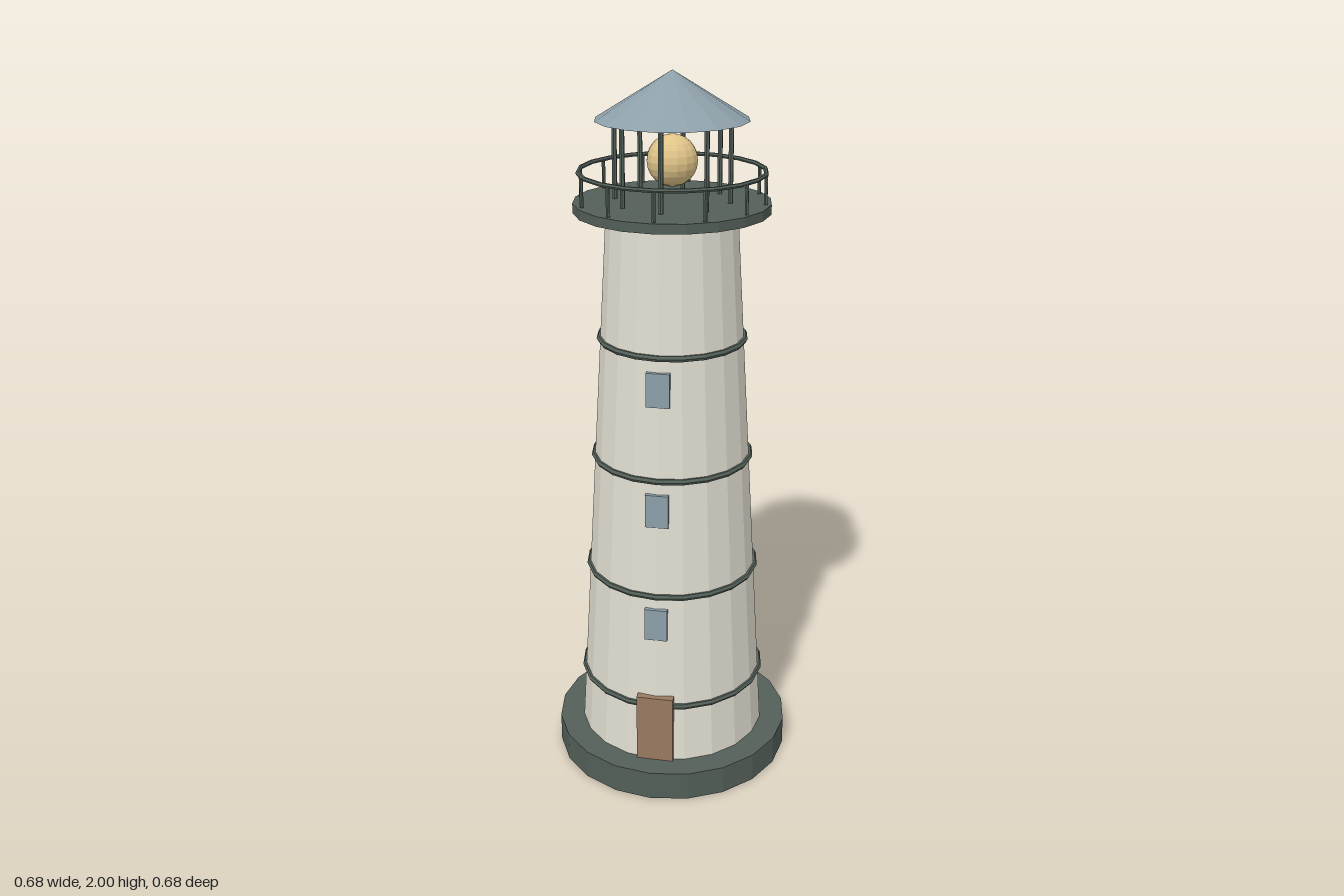
import * as THREE from 'three';

const material = (name, color) => {
  const m = new THREE.MeshStandardMaterial({ color });
  m.name = name;
  return m;
};

// Geometry with hard facets, one normal per face
const faceted = (geometry) => {
  const g = geometry.toNonIndexed();
  g.computeVertexNormals();
  return g;
};

export function createModel() {
  const model = new THREE.Group();
  model.name = 'lighthouse';

  const plaster = material('cream plaster', 0xe0ddd0);
  const iron = material('dark green iron', 0x535f58);
  const slate = material('blue grey', 0x8d9fa9);
  const wood = material('brown wood', 0x997a60);
  const glow = material('lamp gold', 0xe0c488);

  const add = (name, geometry, mat, x = 0, y = 0, z = 0, parent = model) => {
    const mesh = new THREE.Mesh(faceted(geometry), mat);
    mesh.name = name;
    mesh.position.set(x, y, z);
    parent.add(mesh);
    return mesh;
  };

  // Tapered tower on a round plinth
  const SIDES = 20;
  const baseTop = 0.085, towerTop = 1.64;
  const bottomRadius = 0.271, topRadius = 0.177;
  const radiusAt = (y) =>
    THREE.MathUtils.mapLinear(y, baseTop, towerTop, bottomRadius, topRadius);

  add('plinth', new THREE.CylinderGeometry(0.342, 0.342, baseTop, SIDES), iron, 0, baseTop / 2);
  add('tower', new THREE.CylinderGeometry(topRadius, bottomRadius, towerTop - baseTop, SIDES),
    plaster, 0, (baseTop + towerTop) / 2);

  // Horizontal ring, corners lined up with the tower
  const ring = (name, radius, tube, y, parent = model) => {
    const g = new THREE.TorusGeometry(radius, tube, 6, SIDES);
    g.rotateX(Math.PI / 2);
    add(name, g, iron, 0, y, 0, parent);
  };
  [0.26, 0.603, 0.946, 1.29].forEach((y) => ring('towerBand', radiusAt(y) + 0.001, 0.009, y));

  // Door and windows on the front
  add('door', new THREE.BoxGeometry(0.105, 0.207, 0.03), wood, 0, 0.188, 0.259);
  [0.518, 0.86, 1.203].forEach((y) =>
    add('window', new THREE.BoxGeometry(0.064, 0.096, 0.02), slate, 0, y, radiusAt(y) - 0.004));

  // Evenly spaced upright posts
  const posts = (name, count, radius, thickness, y0, y1) => {
    const group = new THREE.Group();
    group.name = name;
    for (let i = 0; i < count; i++) {
      const a = (i / count) * Math.PI * 2;
      add('post', new THREE.CylinderGeometry(thickness, thickness, y1 - y0, 6), iron,
        Math.sin(a) * radius, (y0 + y1) / 2, Math.cos(a) * radius, group);
    }
    model.add(group);
    return group;
  };

  // Gallery deck and railing
  add('galleryDeck', new THREE.CylinderGeometry(0.264, 0.264, 0.026, SIDES), iron, 0, 1.65);
  const railing = posts('railing', 12, 0.248, 0.005, 1.66, 1.742);
  ring('handrail', 0.248, 0.006, 1.742, railing);

  // Open lantern with lamp and roof
  posts('lanternPosts', 8, 0.155, 0.007, 1.66, 1.88);
  add('lamp', new THREE.SphereGeometry(0.068, 16, 12), glow, 0, 1.77);
  add('roof', new THREE.ConeGeometry(0.204, 0.125, 16), slate, 0, 1.9375);

  return model;
}
